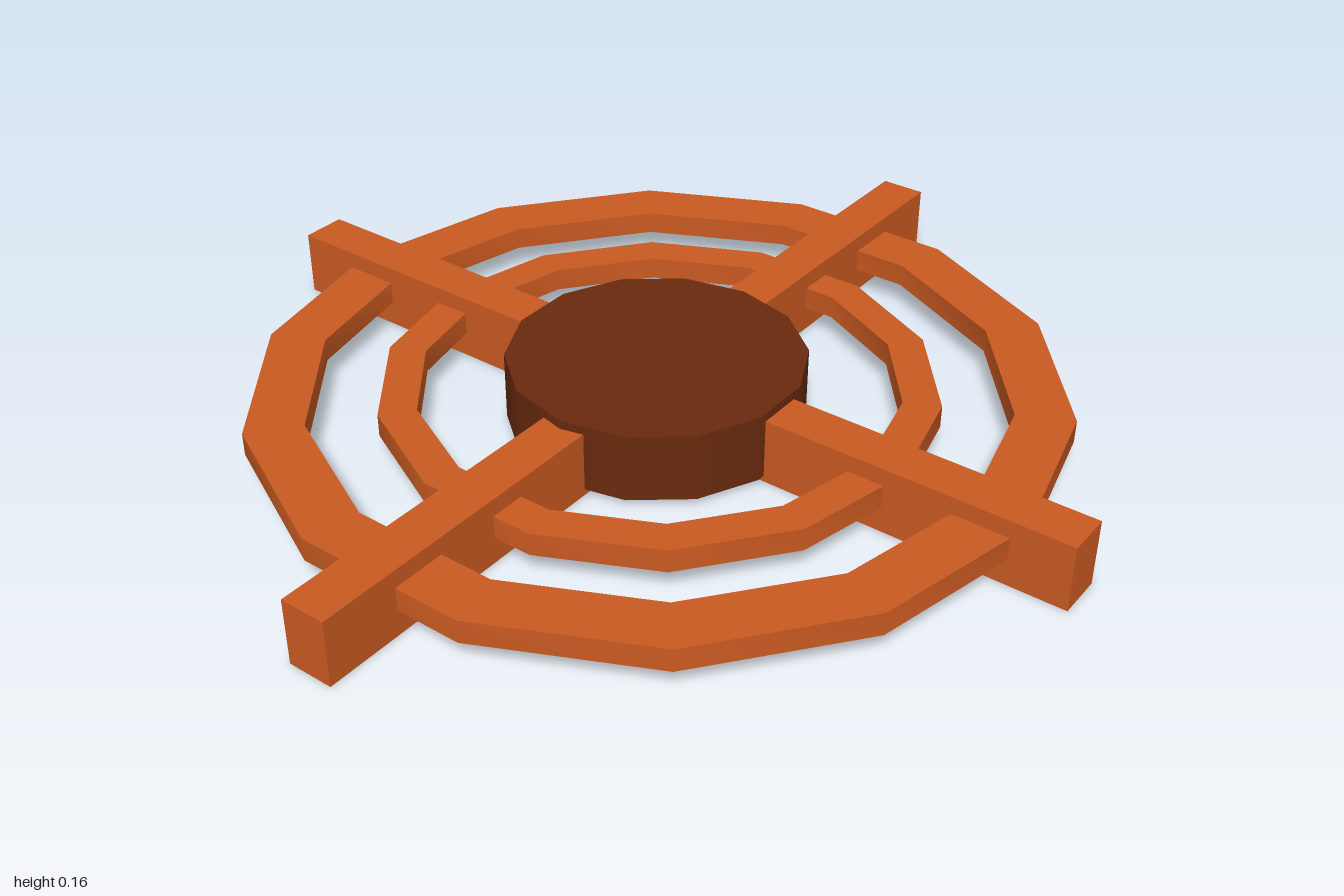
import * as THREE from 'three';
import { toCreasedNormals } from 'three/addons/utils/BufferGeometryUtils.js';

const SIDES = 14;

// Points of a regular polygon with flat sides facing +x and -x
function polygon(radius) {
  return Array.from({ length: SIDES }, (_, i) => {
    const a = ((i + 0.5) / SIDES) * Math.PI * 2;
    return new THREE.Vector2(Math.cos(a) * radius, Math.sin(a) * radius);
  });
}

// Flat polygonal ring lying in the xz plane
function ringGeometry(outer, inner, height) {
  const shape = new THREE.Shape(polygon(outer));
  shape.holes.push(new THREE.Path(polygon(inner)));
  const geo = new THREE.ExtrudeGeometry(shape, { depth: height, bevelEnabled: false });
  geo.rotateX(-Math.PI / 2);
  return toCreasedNormals(geo, 0.6);
}

export function createModel() {
  const group = new THREE.Group();
  const orange = new THREE.MeshStandardMaterial({ color: 0xca5a22 });
  orange.name = 'burnt orange';
  const brown = new THREE.MeshStandardMaterial({ color: 0x6a2a0e });
  brown.name = 'dark brown';

  function add(name, geo, material, x, y, z) {
    const mesh = new THREE.Mesh(geo, material);
    mesh.name = name;
    mesh.position.set(x, y, z);
    group.add(mesh);
  }

  // Crossed bars
  add('sideBar', new THREE.BoxGeometry(2, 0.145, 0.1), orange, 0, 0.0725, 0);
  add('lengthBar', new THREE.BoxGeometry(0.1, 0.145, 1.95), orange, 0, 0.0725, 0);

  // Concentric rings
  add('outerRing', ringGeometry(0.853, 0.73, 0.05), orange, 0.003, 0.057, 0.005);
  add('innerRing', ringGeometry(0.585, 0.505, 0.05), orange, 0.003, 0.057, 0.005);

  // Central hub, with corners on the x axis
  const hub = new THREE.CylinderGeometry(0.315, 0.315, 0.15, SIDES);
  hub.rotateY(Math.PI / 2);
  add('hub', hub, brown, 0.002, 0.089, 0);

  return group;
}
